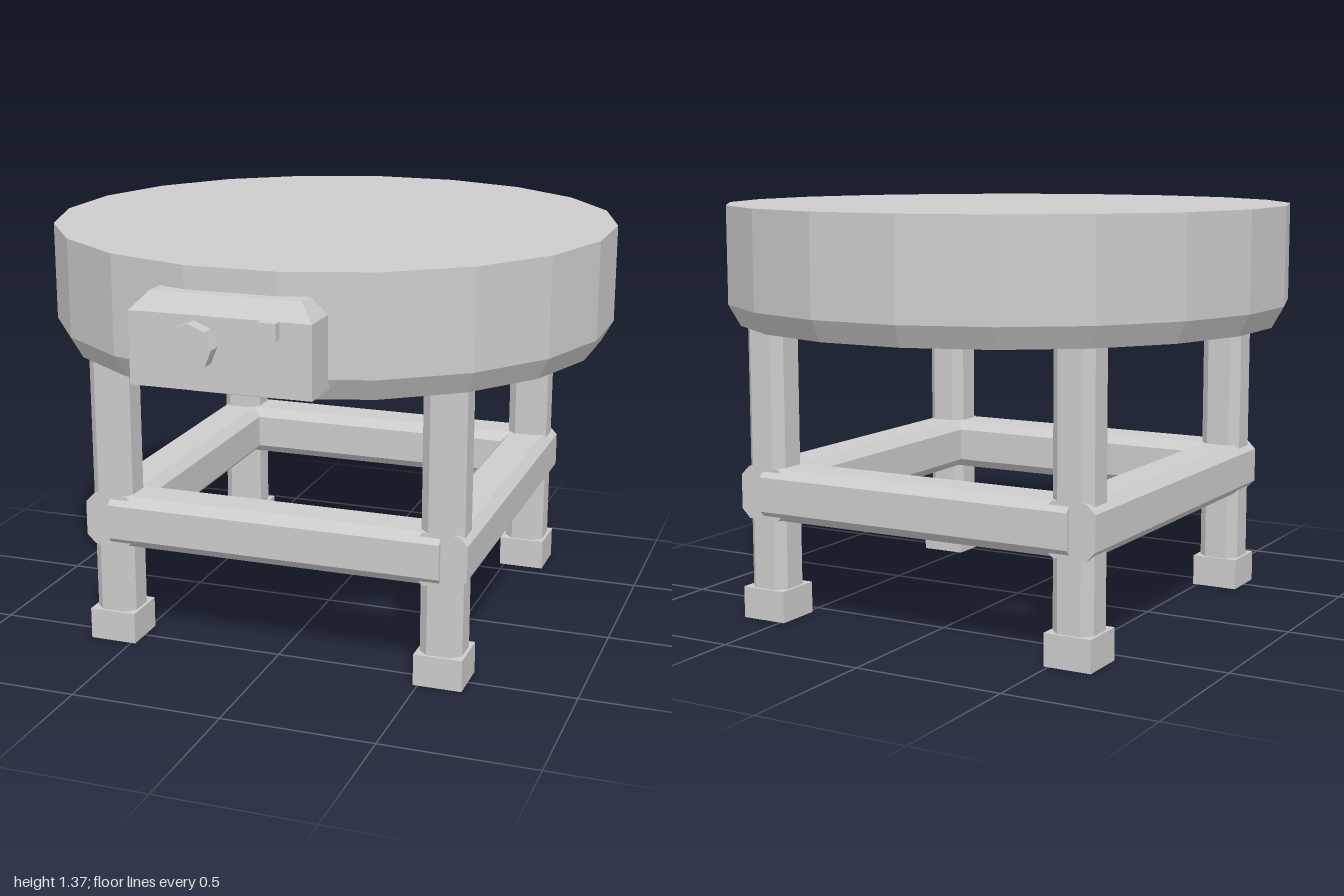
import * as THREE from 'three';

const CZ = -0.068; // centre of the round top and the frame
const SPREAD = 0.565; // leg distance from the centre line

export function createModel() {
  const group = new THREE.Group();
  const grey = new THREE.MeshStandardMaterial({ color: 0xcccccc, flatShading: true });
  grey.name = 'grey';

  function add(name, geometry, x, y, z) {
    const mesh = new THREE.Mesh(geometry, grey);
    mesh.name = name;
    mesh.position.set(x, y, z);
    group.add(mesh);
    return mesh;
  }

  // Square bar with chamfered long edges, centred, running along z
  function bar(half, chamfer, length) {
    const h = half, f = half - chamfer;
    const shape = new THREE.Shape(
      [[h, -f], [h, f], [f, h], [-f, h], [-h, f], [-h, -f], [-f, -h], [f, -h]]
        .map(([x, y]) => new THREE.Vector2(x, y)));
    return new THREE.ExtrudeGeometry(shape, { depth: length, bevelEnabled: false })
      .translate(0, 0, -length / 2);
  }

  // Round twenty-sided top with a bevelled underside
  const profile = [[0, 0.975], [0.903, 0.975], [0.942, 1.045], [0.942, 1.365], [0, 1.365]]
    .map(([r, y]) => new THREE.Vector2(r, y));
  add('roundTop', new THREE.LatheGeometry(profile, 20, Math.PI / 20), 0, 0, CZ);

  // Legs with square feet
  const legGeometry = bar(0.07, 0.03, 0.99).rotateX(Math.PI / 2);
  const footGeometry = new THREE.BoxGeometry(0.16, 0.105, 0.16);
  for (const sx of [-1, 1]) {
    for (const sz of [-1, 1]) {
      const side = (sz > 0 ? 'front' : 'back') + (sx > 0 ? 'Left' : 'Right');
      const x = sx * SPREAD, z = CZ + sz * SPREAD;
      add(side + 'Leg', legGeometry, x, 0.505, z);
      add(side + 'Foot', footGeometry, x, 0.0525, z);
    }
  }

  // Stretcher rails: side rails end flush with the legs, cross rails at leg centres
  const sideRail = bar(0.087, 0.03, 2 * (SPREAD + 0.07));
  const crossRail = bar(0.087, 0.03, 2 * SPREAD).rotateY(Math.PI / 2);
  for (const s of [-1, 1]) {
    add(s > 0 ? 'leftRail' : 'rightRail', sideRail, s * SPREAD, 0.425, CZ);
    add(s > 0 ? 'frontRail' : 'backRail', crossRail, 0, 0.425, CZ + s * SPREAD);
  }

  // Control box whose top slopes in at the front and sides
  add('controlBox', new THREE.BoxGeometry(0.572, 0.225, 0.19), 0, 1.1275, 0.858);
  const cap = new THREE.BoxGeometry(0.572, 0.053, 0.19);
  const p = cap.attributes.position;
  for (let i = 0; i < p.count; i++) {
    if (p.getY(i) > 0) {
      p.setX(i, Math.sign(p.getX(i)) * 0.237);
      if (p.getZ(i) > 0) p.setZ(i, p.getZ(i) - 0.049);
    }
  }
  cap.computeVertexNormals();
  add('controlBoxCap', cap, 0, 1.2665, 0.858);

  // Knob and small button on the control box
  const knob = new THREE.CylinderGeometry(0.073, 0.073, 0.06, 8).rotateX(Math.PI / 2);
  add('knob', knob, -0.077, 1.152, 0.97);
  add('button', new THREE.BoxGeometry(0.055, 0.053, 0.05), 0.16, 1.2145, 0.958);

  return group;
}
